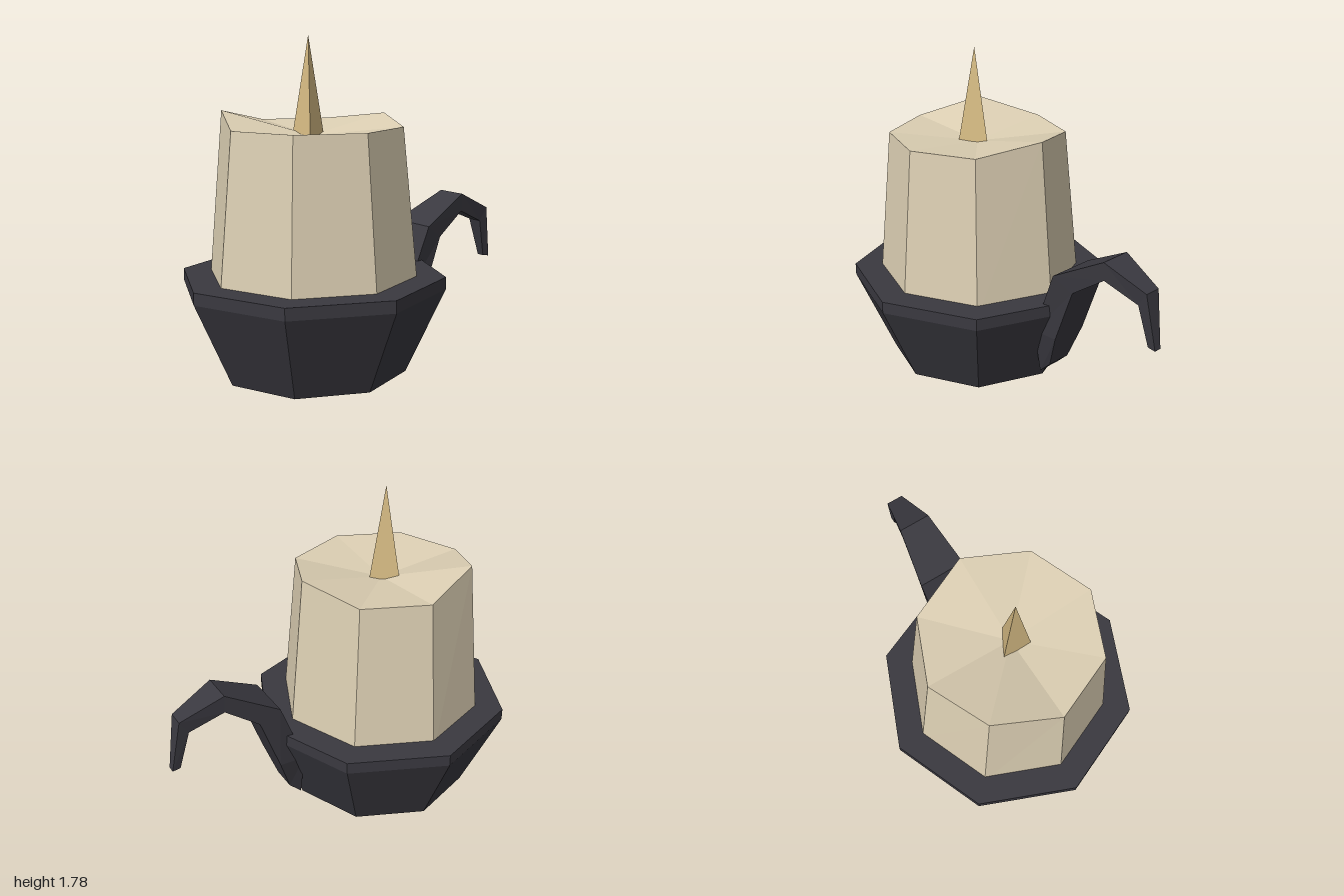
import * as THREE from 'three';

const CX = -0.285; // axis shared by the dish and candle

const material = (name, color) => {
  const m = new THREE.MeshStandardMaterial({ color, flatShading: true });
  m.name = name;
  return m;
};

function part(name, geometry, mat, x = 0, y = 0, z = 0) {
  const mesh = new THREE.Mesh(geometry, mat);
  mesh.name = name;
  mesh.position.set(x, y, z);
  return mesh;
}

// Eight-sided dish with a short upright rim and a flat top
function dishGeometry() {
  const profile = [[0, 0], [0.505, 0], [0.715, 0.46], [0.715, 0.525], [0, 0.525]];
  return new THREE.LatheGeometry(profile.map(([r, y]) => new THREE.Vector2(r, y)), 8);
}

// Tapered eight-sided candle: hollowed top with two raised rim corners
function candleGeometry() {
  const bottom = 0.45, top = 1.315;
  const geo = new THREE.CylinderGeometry(0.485, 0.567, top - bottom, 8);
  geo.translate(0, (top + bottom) / 2, 0);
  const p = geo.attributes.position;
  for (let i = 0; i < p.count; i++) {
    if (p.getY(i) < 1) continue;
    const x = p.getX(i), z = p.getZ(i);
    if (Math.hypot(x, z) < 0.01) p.setY(i, 1.265);
    else if (x > 0.45) p.setY(i, 1.36);
    else if (x < -0.3 && z < -0.3) p.setY(i, 1.39);
  }
  return geo;
}

// Curled tapering handle lofted through four-cornered sections
function handleGeometry() {
  // upper x, y, half width; lower x, y, half width
  const sections = [
    [0.27, 0.07, 0.072, 0.34, 0.135, 0.072],
    [0.27, 0.34, 0.125, 0.412, 0.33, 0.112],
    [0.415, 0.715, 0.14, 0.525, 0.64, 0.112],
    [0.71, 0.868, 0.092, 0.71, 0.765, 0.085],
    [0.95, 0.757, 0.048, 0.9, 0.68, 0.045],
    [1.0, 0.45, 0.022, 0.955, 0.457, 0.022],
  ];
  const positions = [], index = [];
  for (const [ux, uy, uw, lx, ly, lw] of sections) {
    positions.push(ux, uy, uw, ux, uy, -uw, lx, ly, -lw, lx, ly, lw);
  }
  const last = (sections.length - 1) * 4;
  for (let s = 0; s < last; s += 4) {
    for (let k = 0; k < 4; k++) {
      const a = s + k, b = s + (k + 1) % 4;
      index.push(a, a + 4, b, b, a + 4, b + 4);
    }
  }
  index.push(0, 1, 2, 0, 2, 3);
  index.push(last, last + 2, last + 1, last, last + 3, last + 2);
  const geo = new THREE.BufferGeometry();
  geo.setAttribute('position', new THREE.Float32BufferAttribute(positions, 3));
  geo.setIndex(index);
  geo.computeVertexNormals();
  return geo;
}

export function createModel() {
  const iron = material('dark iron', 0x3a3940);
  const wax = material('cream wax', 0xdccfb3);
  const cord = material('tan wick', 0xd8bd85);

  const model = new THREE.Group();
  model.name = 'candleHolder';
  model.add(part('dish', dishGeometry(), iron, CX));
  model.add(part('handle', handleGeometry(), iron));
  model.add(part('candle', candleGeometry(), wax, CX));

  // Three-sided pointed wick
  const wick = new THREE.ConeGeometry(0.097, 0.53, 3, 1, false, Math.PI / 2);
  model.add(part('wick', wick, cord, -0.302, 1.52, 0));
  return model;
}
